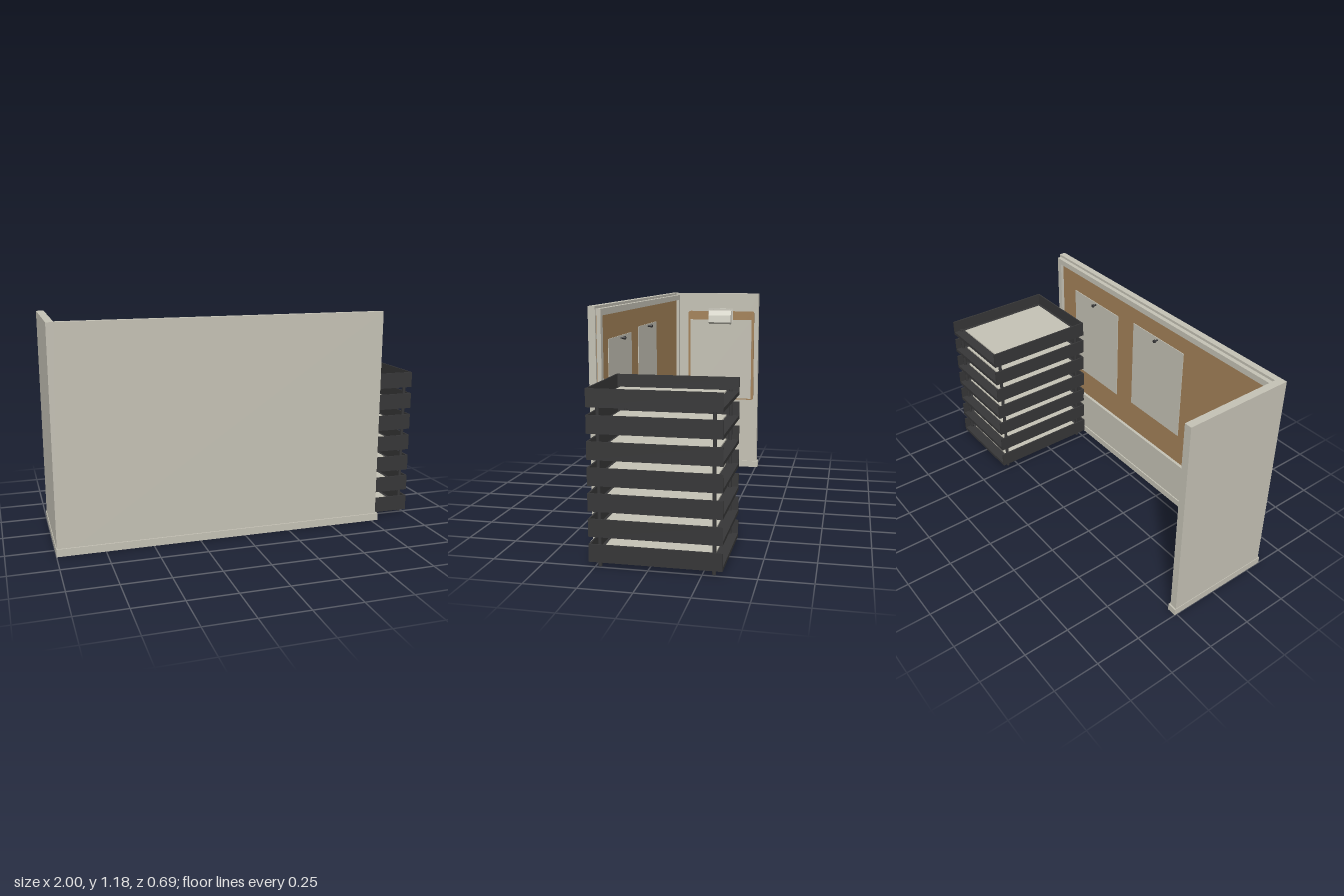
import * as THREE from 'three';

export function createModel() {
  const model = new THREE.Group();
  model.name = 'officeCubicle';

  const mat = (name, color) => {
    const m = new THREE.MeshStandardMaterial({ color });
    m.name = name;
    return m;
  };
  const panel = mat('panelGrey', 0xc4c1b4);
  const cork = mat('corkBrown', 0xa38158);
  const dark = mat('trayBlack', 0x363637);
  const metal = mat('clipMetal', 0xcac8bc);

  const add = (name, geometry, material, parent = model) => {
    const mesh = new THREE.Mesh(geometry, material);
    mesh.name = name;
    parent.add(mesh);
    return mesh;
  };
  // Box given by its minimum and maximum on each axis
  const box = (name, material, x0, x1, y0, y1, z0, z1, parent) => {
    const g = new THREE.BoxGeometry(x1 - x0, y1 - y0, z1 - z0);
    g.translate((x0 + x1) / 2, (y0 + y1) / 2, (z0 + z1) / 2);
    return add(name, g, material, parent);
  };
  const group = (name) => {
    const g = new THREE.Group();
    g.name = name;
    model.add(g);
    return g;
  };

  // Partition walls with a slightly wider base strip
  const walls = group('partition');
  box('sideWall', panel, -0.997, -0.957, 0.005, 1.178, -0.255, 0.335, walls);
  box('frontWall', panel, -0.957, 0.776, 0.005, 1.178, 0.3, 0.335, walls);
  box('sideBase', panel, -1, -0.95, 0, 0.04, -0.263, 0.343, walls);
  box('frontBase', panel, -0.95, 0.79, 0, 0.04, 0.293, 0.343, walls);

  // Pin board with a raised frame on the inner face of the front wall
  const board = group('pinBoard');
  const L = -0.955, R = 0.765, B = 0.28, T = 1.165, W = 0.032;
  box('corkSheet', cork, L + 0.01, R - 0.003, B + W - 0.002, T - W, 0.294, 0.301, board);
  box('frameTop', panel, L, R, T - W, T, 0.277, 0.3, board);
  box('frameBottom', panel, L, R, B, B + W, 0.277, 0.3, board);
  box('frameLeft', panel, R - W, R, B + W, T - W, 0.277, 0.297, board);
  box('frameRight', panel, L, L + W, B + W, T - W, 0.277, 0.297, board);

  // Two notices, each held by a push pin
  for (const [x, y] of [[0.4, 0.998], [-0.15, 1.017]]) {
    box('notice', panel, x - 0.205, x + 0.205, y - 0.52, y + 0.012, 0.29, 0.294, board);
    const shaft = new THREE.CylinderGeometry(0.005, 0.005, 0.02, 12);
    const head = new THREE.CylinderGeometry(0.009, 0.009, 0.01, 12);
    for (const [name, g, z] of [['pinShaft', shaft, 0.281], ['pinHead', head, 0.268]]) {
      g.rotateX(Math.PI / 2);
      g.translate(x, y, z);
      add(name, g, dark, board);
    }
  }

  // Clipboard on the side wall: rounded backing board, paper and clip
  const clipboard = group('clipboard');
  const roundedPlate = (z0, z1, y0, y1, r, x, depth) => {
    const a = -z1, b = -z0;
    const s = new THREE.Shape();
    s.moveTo(a + r, y0);
    s.lineTo(b - r, y0);
    s.absarc(b - r, y0 + r, r, -Math.PI / 2, 0);
    s.absarc(b - r, y1 - r, r, 0, Math.PI / 2);
    s.absarc(a + r, y1 - r, r, Math.PI / 2, Math.PI);
    s.absarc(a + r, y0 + r, r, Math.PI, Math.PI * 1.5);
    const g = new THREE.ExtrudeGeometry(s, { depth, bevelEnabled: false, curveSegments: 5 });
    g.rotateY(Math.PI / 2);
    g.translate(x, 0, 0);
    return g;
  };
  add('backingBoard', roundedPlate(-0.228, 0.215, 0.467, 1.06, 0.014, -0.957, 0.014), cork, clipboard);
  box('clipboardPaper', panel, -0.943, -0.938, 0.475, 1.004, -0.212, 0.2, clipboard);
  add('clipPlate', roundedPlate(-0.088, 0.077, 0.988, 1.08, 0.006, -0.943, 0.008), metal, clipboard);

  // Folded clip lever, extruded across the clipboard
  const lever = new THREE.Shape([
    [-0.936, 1.066], [-0.936, 0.99], [-0.918, 0.976], [-0.887, 0.99], [-0.894, 1.035], [-0.918, 1.066],
  ].map(([x, y]) => new THREE.Vector2(x, y)));
  const leverGeo = new THREE.ExtrudeGeometry(lever, { depth: 0.148, bevelEnabled: false });
  leverGeo.translate(0, 0, -0.079);
  add('clipLever', leverGeo, metal, clipboard);
  for (const z of [-0.062, 0.052]) {
    const g = new THREE.CylinderGeometry(0.009, 0.009, 0.012, 14);
    g.rotateZ(Math.PI / 2);
    g.translate(-0.93, 1.067, z);
    add('clipRivet', g, metal, clipboard);
  }

  // Stack of seven letter trays, open at the back, each holding paper
  const trays = group('trayStack');
  const x0 = 0.517, x1 = 1, z0 = -0.343, z1 = 0.28, t = 0.008;
  for (let i = 0; i < 7; i++) {
    const y = 0.022 + i * 0.1203, top = y + 0.085;
    const tray = new THREE.Group();
    tray.name = 'tray' + (i + 1);
    trays.add(tray);
    box('trayFloor', dark, x0 + t, x1 - t, y, y + 0.018, z0, z1 - t, tray);
    box('trayRightSide', dark, x0, x0 + t, y, top, z0, z1, tray);
    box('trayLeftSide', dark, x1 - t, x1, y, top, z0, z1, tray);
    box('trayFront', dark, x0 + t, x1 - t, y, top, z1 - t, z1, tray);
    box('trayPaper', panel, 0.555, 0.962, y + 0.018, y + 0.026, -0.285, 0.25, tray);
  }

  // Corner posts carrying the trays
  for (const x of [0.535, 0.982]) {
    for (const z of [-0.302, 0.23]) {
      const g = new THREE.CylinderGeometry(0.009, 0.009, 0.77, 16);
      g.translate(x, 0.385, z);
      add('trayPost', g, dark, trays);
    }
  }

  return model;
}
